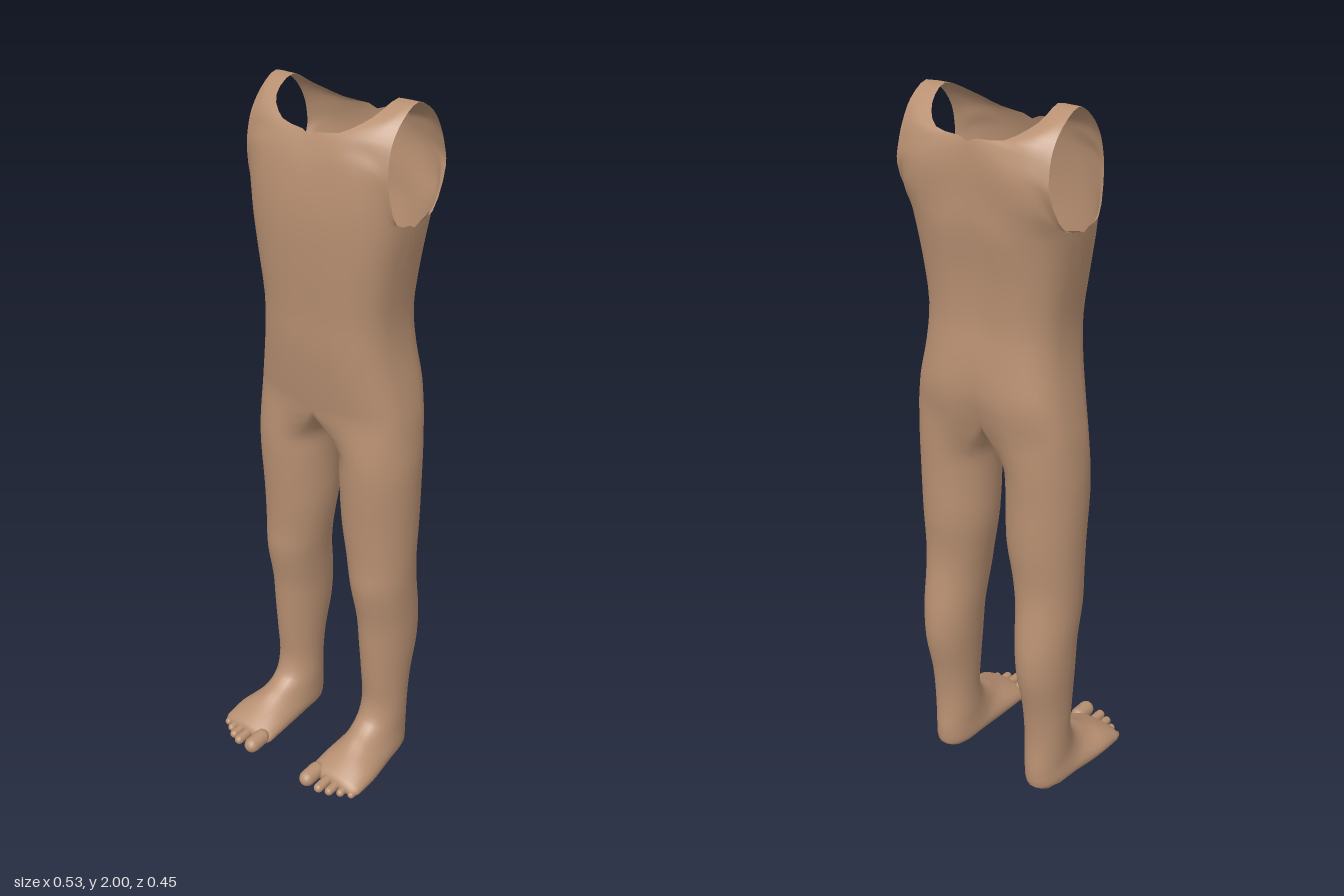
import * as THREE from 'three';
import { mergeGeometries, mergeVertices } from 'three/addons/utils/BufferGeometryUtils.js';

const V = (x, y, z) => new THREE.Vector3(x, y, z);
const S = 9;    // steps from the centre line to the side
const K = 8;    // steps around the inner thigh
const SUB = 3;  // steps between cross-sections

// Trunk rings from the hips up: y, half width, front z, back z, depth of the groove down the back
const TRUNK = [
  [1.16, 0.244, 0.046, -0.205, 0.03], [1.25, 0.226, 0.06, -0.218, 0.016],
  [1.35, 0.207, 0.072, -0.21, 0.006], [1.45, 0.201, 0.077, -0.2, 0.008],
  [1.58, 0.217, 0.086, -0.206, 0.01], [1.7, 0.235, 0.09, -0.222, 0.012],
];

// Chest and back rows, each from the centre line or neck edge out to the armhole edge
const CHEST = [
  [[0, 1.78, 0.085], [0.14, 1.79, 0.075], [0.205, 1.77, 0.042], [0.233, 1.72, 0.0]],
  [[0, 1.85, 0.072], [0.12, 1.86, 0.07], [0.185, 1.855, 0.052], [0.226, 1.82, 0.03]],
  [[0, 1.91, 0.052], [0.1, 1.9, 0.06], [0.17, 1.895, 0.045], [0.224, 1.87, 0.028]],
  [[0.09, 1.93, 0.044], [0.13, 1.93, 0.042], [0.178, 1.925, 0.033], [0.222, 1.92, 0.014]],
  [[0.15, 1.967, 0.0], [0.175, 1.967, -0.003], [0.2, 1.97, -0.012], [0.222, 1.97, -0.025]],
];
const SHOULDER = [[0.165, 2, -0.08], [0.185, 2, -0.08], [0.205, 2, -0.08], [0.223, 2, -0.08]];
const BACK = [
  [[0, 1.78, -0.213], [0.14, 1.78, -0.222], [0.205, 1.77, -0.2], [0.233, 1.72, -0.14]],
  [[0, 1.85, -0.214], [0.12, 1.85, -0.226], [0.185, 1.845, -0.215], [0.226, 1.82, -0.198]],
  [[0, 1.915, -0.21], [0.1, 1.9, -0.216], [0.17, 1.89, -0.21], [0.222, 1.87, -0.195]],
  [[0.1, 1.93, -0.198], [0.14, 1.93, -0.2], [0.18, 1.93, -0.192], [0.22, 1.92, -0.178]],
  [[0.155, 1.967, -0.142], [0.18, 1.967, -0.147], [0.2, 1.967, -0.147], [0.222, 1.967, -0.143]],
];

// Leg and foot sections going down: inner x, outer x, front z and y, back z and y
const LEG = [
  [0.024, 0.256, 0.044, 1.05, -0.192, 1.05], [0.032, 0.257, 0.043, 0.97, -0.188, 0.97],
  [0.036, 0.253, 0.032, 0.82, -0.187, 0.82], [0.055, 0.25, 0.025, 0.7, -0.178, 0.7],
  [0.068, 0.248, 0.025, 0.62, -0.183, 0.62], [0.08, 0.244, 0.003, 0.5, -0.2, 0.5],
  [0.087, 0.241, -0.004, 0.4, -0.199, 0.4], [0.097, 0.234, -0.014, 0.28, -0.174, 0.28],
  [0.101, 0.231, -0.02, 0.2, -0.164, 0.18], [0.1, 0.23, -0.004, 0.145, -0.166, 0.11],
  [0.1, 0.23, 0.025, 0.122, -0.17, 0.05], [0.097, 0.237, 0.055, 0.108, -0.16, -0.008],
  [0.092, 0.248, 0.082, 0.092, -0.08, -0.012], [0.086, 0.263, 0.11, 0.077, 0.03, -0.012],
  [0.085, 0.265, 0.14, 0.061, 0.1, -0.01], [0.089, 0.259, 0.165, 0.043, 0.155, -0.004],
];

// One point on a trunk ring; s runs from the centre line (0) to the side (1)
function trunkPoint([y, w, zf, zb, groove], s, back) {
  const a = s * Math.PI / 2, zc = (zf + zb) / 2;
  const x = s === 0 ? 0 : w * Math.sin(a) ** 0.7;
  const c = s === 1 ? 0 : Math.cos(a) ** 0.7;
  const z = back ? zc + (zb - zc) * c + groove * Math.exp(-((x / 0.04) ** 2)) : zc + (zf - zc) * c;
  return V(x, y, z);
}

const across = (row, s) => new THREE.CatmullRomCurve3(row.map(p => V(...p))).getPoint(s);

const smooth = pts => new THREE.CatmullRomCurve3(pts).getPoints((pts.length - 1) * SUB);

// Skin made from neighbouring columns of points
function skin(columns, flip) {
  const rows = columns[0].length, index = [];
  for (let i = 0; i < columns.length - 1; i++) {
    for (let j = 0; j < rows - 1; j++) {
      const a = i * rows + j, b = a + rows, c = b + 1, d = a + 1;
      index.push(...(flip ? [a, c, b, a, d, c] : [a, b, c, a, c, d]));
    }
  }
  const g = new THREE.BufferGeometry().setFromPoints(columns.flat());
  g.setIndex(index);
  return g;
}

// Half of the trunk: each column runs up the front, over the shoulder and down the back
function trunkColumns() {
  const columns = [];
  for (let i = 0; i <= S; i++) {
    const s = i / S;
    const pts = smooth([
      ...TRUNK.map(r => trunkPoint(r, s, false)),
      ...CHEST.map(r => across(r, s)),
      across(SHOULDER, s),
      ...BACK.map(r => across(r, s)).reverse(),
      ...TRUNK.map(r => trunkPoint(r, s, true)).reverse(),
    ]);
    pts.forEach(p => { p.x = Math.max(0, p.x); });
    columns.push(pts);
  }
  return columns;
}

// One leg with its foot: the top ring follows the hips outside and the crotch inside
function legColumns() {
  const hip = TRUNK[0], open = 125 * Math.PI / 180, columns = [];
  const backMid = trunkPoint(hip, 0, true).z, frontMid = hip[2];
  const n = 2 * S + K;
  for (let i = 0; i <= n; i++) {
    let top, angle;
    if (i <= 2 * S) {
      top = trunkPoint(hip, i <= S ? i / S : 2 - i / S, i > S);
      angle = open * (1 - i / S);
    } else {
      const k = (i - 2 * S) / K, a = k * Math.PI;
      top = V(0, hip[0] - 0.06 * Math.sin(a), (frontMid + backMid) / 2 + (backMid - frontMid) / 2 * Math.cos(a));
      angle = -open - k * (2 * Math.PI - 2 * open);
    }
    const pts = LEG.map(([xi, xo, zf, yf, zb, yb]) => {
      const f = (1 + Math.sin(angle)) / 2;
      return V((xi + xo) / 2 + (xo - xi) / 2 * Math.cos(angle), yb + (yf - yb) * f, zb + (zf - zb) * f);
    });
    const col = smooth([top, ...pts, V(0.174, 0.02, 0.17)]);
    // Flat sole
    col.forEach(p => { p.y = Math.max(0, p.y); });
    columns.push(col);
  }
  return columns;
}

const mirrored = columns => columns.map(c => c.map(p => V(-p.x, p.y, p.z)));

export function createModel() {
  const group = new THREE.Group();
  const skinTone = new THREE.MeshStandardMaterial({ color: 0xb89072, side: THREE.DoubleSide });
  skinTone.name = 'skin tone';

  // Trunk, legs and feet as one smooth open shell
  const trunk = trunkColumns(), leg = legColumns();
  const shell = mergeVertices(mergeGeometries([
    skin(trunk, false), skin(mirrored(trunk), true),
    skin(leg, true), skin(mirrored(leg), false),
  ]), 1e-4);
  shell.computeVertexNormals();
  const body = new THREE.Mesh(shell, skinTone);
  body.name = 'body';
  group.add(body);

  // Toes: x, radius, tip z, height of centre
  const toes = [
    [0.111, 0.024, 0.226, 0.024], [0.16, 0.0145, 0.222, 0.021], [0.191, 0.013, 0.21, 0.019],
    [0.219, 0.012, 0.191, 0.017], [0.247, 0.011, 0.174, 0.015],
  ];
  for (const side of [1, -1]) {
    const foot = new THREE.Group();
    foot.name = side > 0 ? 'leftToes' : 'rightToes';
    toes.forEach(([x, r, tip, y], i) => {
      const length = 0.09;
      const toe = new THREE.Mesh(new THREE.CapsuleGeometry(r, length - 2 * r, 5, 12), skinTone);
      toe.name = i === 0 ? 'bigToe' : 'toe' + (i + 1);
      toe.rotation.x = Math.PI / 2 + 0.08;
      toe.position.set(side * x, y + 0.004, tip - length / 2);
      foot.add(toe);
    });
    group.add(foot);
  }
  return group;
}
